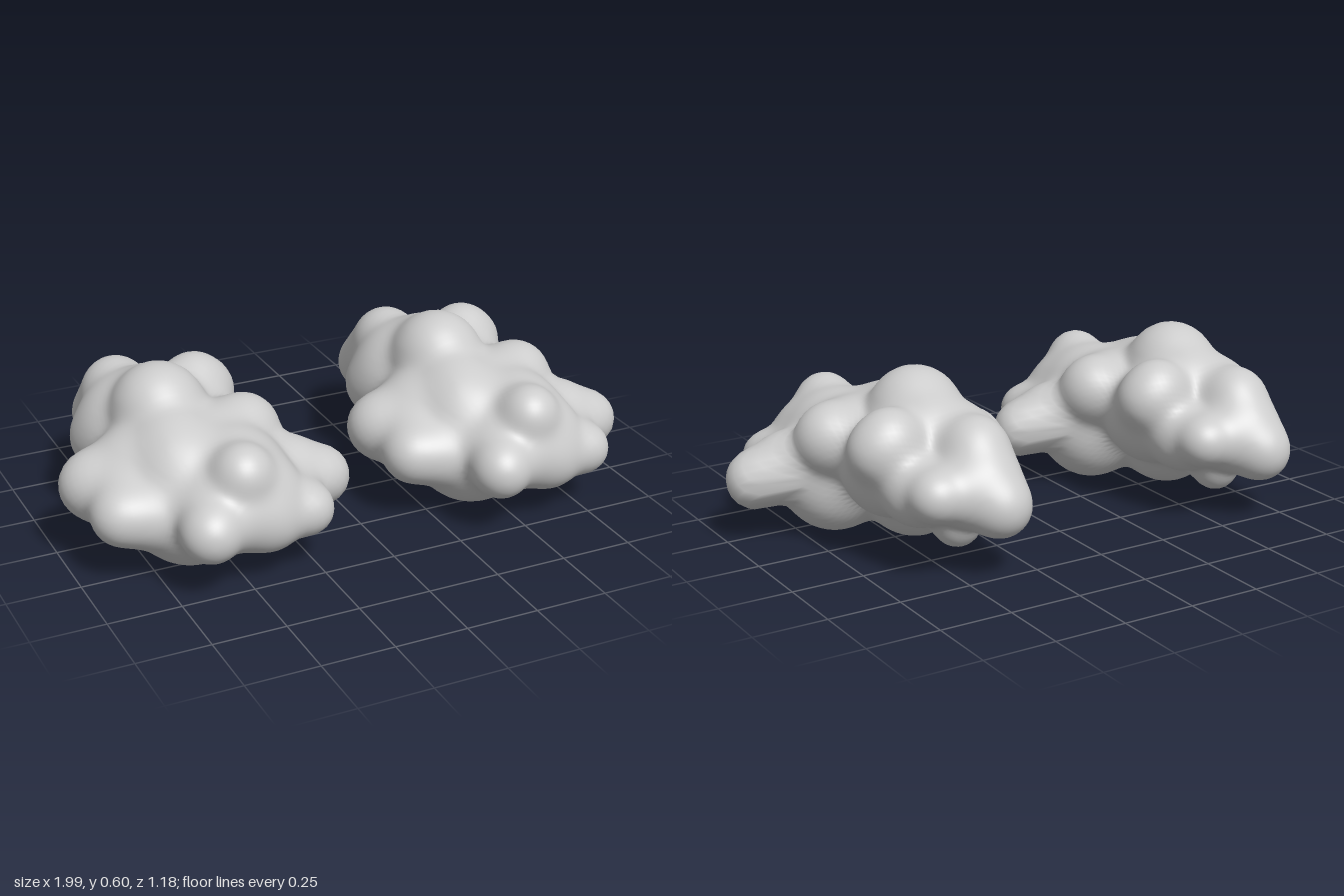
import * as THREE from 'three';
import { mergeVertices } from 'three/addons/utils/BufferGeometryUtils.js';

// Puffs of one cloud, each [x, y, z, radius]
const core = [
  [-0.10, 0.185, 0.00, 0.175], [0.11, 0.195, 0.18, 0.18], [-0.09, 0.21, 0.23, 0.195],
  [-0.10, 0.32, 0.20, 0.16], [-0.14, 0.31, -0.18, 0.18], [0.05, 0.31, -0.12, 0.165],
  [0.05, 0.30, 0.27, 0.17], [-0.21, 0.28, 0.08, 0.165], [0.06, 0.35, 0.12, 0.13],
  [-0.08, 0.22, -0.21, 0.11],
];
const upper = [
  [-0.09, 0.45, -0.03, 0.155], [-0.10, 0.37, 0.13, 0.135], [-0.07, 0.41, -0.16, 0.13],
  [-0.15, 0.37, -0.20, 0.125], [0.165, 0.37, 0.08, 0.12], [0.10, 0.435, -0.21, 0.10],
  [0.145, 0.40, -0.21, 0.095],
];
const tail = [
  [-0.13, 0.40, -0.35, 0.11], [-0.14, 0.25, -0.49, 0.10], [-0.12, 0.31, -0.41, 0.125],
  [-0.05, 0.29, -0.42, 0.10], [0.06, 0.30, -0.43, 0.08], [-0.08, 0.15, -0.32, 0.075],
  [-0.22, 0.28, -0.24, 0.105], [0.05, 0.28, -0.30, 0.115],
];
const sides = [
  [-0.36, 0.27, 0.07, 0.115], [-0.335, 0.24, 0.26, 0.095], [-0.28, 0.25, 0.17, 0.12],
  [-0.24, 0.23, 0.28, 0.10], [0.375, 0.22, 0.23, 0.10], [0.27, 0.26, 0.21, 0.11],
  [0.24, 0.22, 0.32, 0.09],
];
const front = [
  [-0.12, 0.24, 0.49, 0.095], [0.02, 0.39, 0.42, 0.095], [0.24, 0.22, 0.43, 0.085],
  [0.10, 0.22, 0.42, 0.115], [0.10, 0.29, 0.38, 0.12], [-0.06, 0.25, 0.38, 0.13],
  [0.01, 0.25, 0.43, 0.10],
];
const puffs = [...core, ...upper, ...tail, ...sides, ...front];

// Smoothly blended distance to all the puffs
const BLEND = 0.022;
function distance(p) {
  let sum = 0;
  for (const [x, y, z, r] of puffs) {
    const d = Math.hypot(p.x - x, p.y - y, p.z - z) - r;
    sum += Math.exp(-d / BLEND);
  }
  return -BLEND * Math.log(sum);
}

// Shrink-wrap a sphere onto the puffs, moving inward towards a short spine
function cloudGeometry() {
  let geometry = new THREE.IcosahedronGeometry(1, 26);
  geometry.deleteAttribute('uv');
  geometry.deleteAttribute('normal');
  geometry = mergeVertices(geometry, 1e-4);
  const position = geometry.attributes.position;
  const dir = new THREE.Vector3(), spine = new THREE.Vector3(), p = new THREE.Vector3();
  for (let i = 0; i < position.count; i++) {
    dir.fromBufferAttribute(position, i).normalize();
    spine.set(-0.05 - 0.02 * dir.z, 0.27, 0.34 * dir.z);
    let t = 0.7;
    for (let step = 0; step < 60 && t > 0.02; step++) {
      const d = distance(p.copy(spine).addScaledVector(dir, t));
      if (d < 0.0005) break;
      t -= d;
    }
    p.copy(spine).addScaledVector(dir, t);
    position.setXYZ(i, p.x, p.y, p.z);
  }
  geometry.computeVertexNormals();
  return geometry;
}

export function createModel() {
  const group = new THREE.Group();
  group.name = 'clouds';
  const cloudGrey = new THREE.MeshStandardMaterial({ color: 0xcccccc });
  cloudGrey.name = 'cloud grey';
  const geometry = cloudGeometry();

  // Two matching clouds side by side
  for (const [name, x] of [['rightCloud', -0.521], ['leftCloud', 0.521]]) {
    const cloud = new THREE.Mesh(geometry, cloudGrey);
    cloud.name = name;
    cloud.position.x = x;
    group.add(cloud);
  }
  return group;
}
